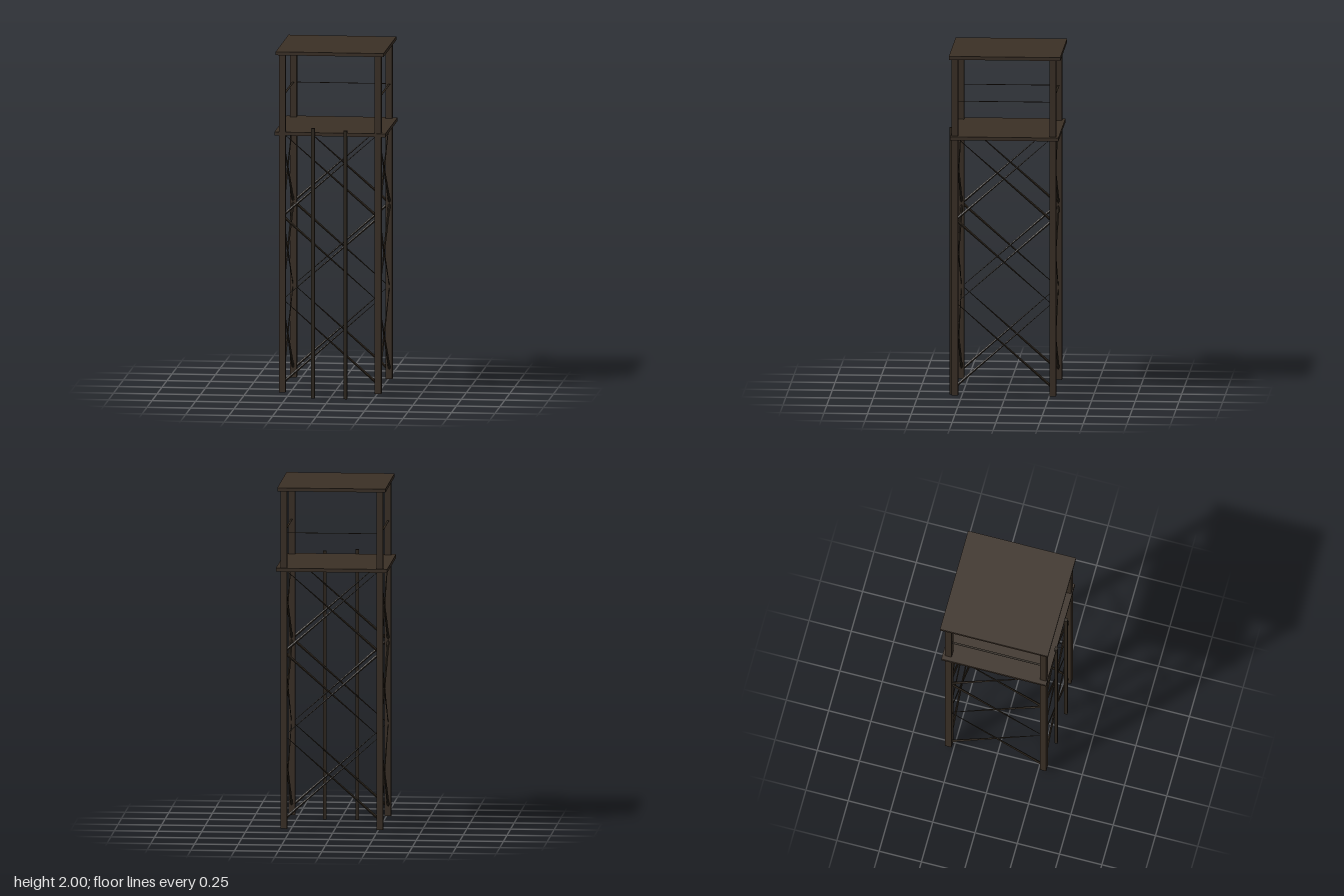
import * as THREE from 'three';

export function createModel() {
  const model = new THREE.Group();
  model.name = 'watchtower';
  const wood = new THREE.MeshStandardMaterial({ color: 0x3b3026 });
  wood.name = 'brown wood';
  const darkWood = new THREE.MeshStandardMaterial({ color: 0x2e261d });
  darkWood.name = 'dark wood';

  function box(name, material, size, position, parent = model) {
    const mesh = new THREE.Mesh(new THREE.BoxGeometry(...size), material);
    mesh.name = name;
    mesh.position.set(...position);
    parent.add(mesh);
    return mesh;
  }

  // Roof and lookout floor
  box('roof', wood, [0.62, 0.02, 0.638], [0, 1.99, -0.006]);
  box('platform', wood, [0.638, 0.02, 0.62], [0, 1.525, -0.005]);

  // Corner posts
  for (const x of [-0.275, 0.275]) {
    for (const z of [-0.28, 0.28]) {
      box('cornerPost', wood, [0.038, 1.95, 0.038], [x, 1.005, z]);
    }
  }

  // Ladder uprights on the front
  box('ladderRail', darkWood, [0.02, 1.56, 0.018], [-0.096, 0.78, 0.305]);
  box('ladderRail', darkWood, [0.02, 1.55, 0.02], [0.09, 0.775, 0.313]);

  // Tapered diagonal brace from a thick end to a thin end
  const up = new THREE.Vector3(0, 1, 0);
  function brace(thickEnd, thinEnd, parent) {
    const along = thinEnd.clone().sub(thickEnd);
    const geometry = new THREE.CylinderGeometry(0.0015, 0.008, along.length(), 4, 1).toNonIndexed();
    geometry.computeVertexNormals();
    const mesh = new THREE.Mesh(geometry, darkWood);
    mesh.name = 'brace';
    mesh.position.copy(thickEnd).add(thinEnd).multiplyScalar(0.5);
    mesh.quaternion.setFromUnitVectors(up, along.normalize());
    parent.add(mesh);
  }

  // Three crossed pairs on each side: [thick end height, thin end height]
  const levels = [[0.085, 0.565], [1.045, 0.565], [1.05, 1.525]];
  for (let side = 0; side < 4; side++) {
    const panel = new THREE.Group();
    panel.name = 'bracedSide';
    panel.rotation.y = side * Math.PI / 2;
    for (const [thick, thin] of levels) {
      for (const s of [-1, 1]) {
        brace(new THREE.Vector3(s * 0.272, thick, 0.277), new THREE.Vector3(-s * 0.272, thin, 0.277), panel);
      }
    }
    // Flat handrail on every side except the ladder side
    if (side > 0) box('handrail', darkWood, [0.54, 0.002, 0.012], [0, 1.735, 0.277], panel);
    model.add(panel);
  }
  return model;
}
